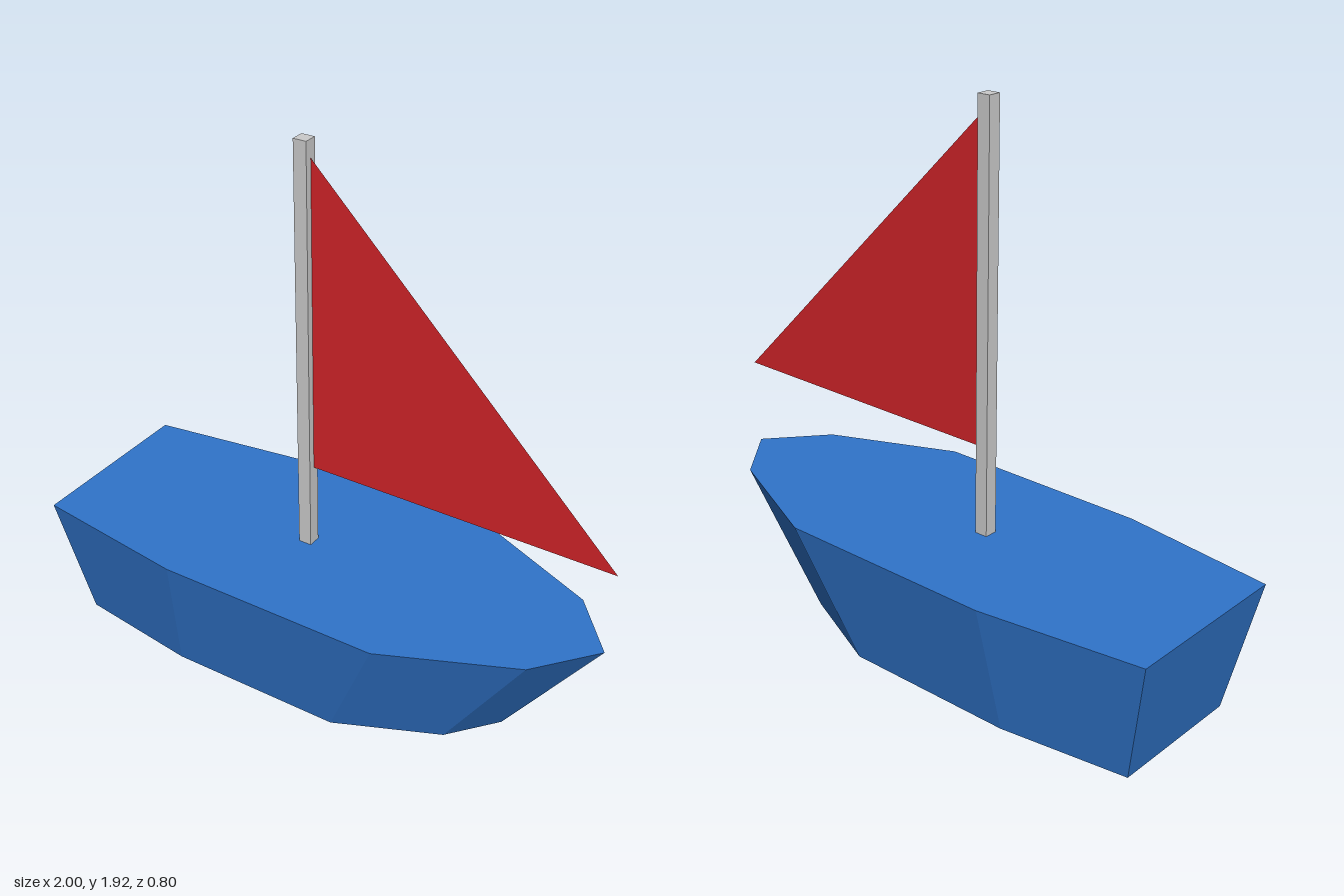
import * as THREE from 'three';

const DECK_Y = 0.455;
const MAST_X = -0.124;

function addPart(group, name, geometry, color, side = THREE.FrontSide) {
  const material = new THREE.MeshStandardMaterial({ color, side, flatShading: true });
  const mesh = new THREE.Mesh(geometry, material);
  mesh.name = name;
  group.add(mesh);
  return mesh;
}

// Extruded deck outline, stood upright, with the keel end shrunk towards the mast
function hullGeometry() {
  const side = [[-1, 0.32], [-0.43, 0.4], [0.37, 0.4], [0.815, 0.205]];
  const outline = [
    ...side.map(([x, w]) => new THREE.Vector2(x, -w)),
    new THREE.Vector2(0.985, 0),
    ...side.map(([x, w]) => new THREE.Vector2(x, w)).reverse(),
  ];
  const geometry = new THREE.ExtrudeGeometry(new THREE.Shape(outline), { depth: DECK_Y, bevelEnabled: false });
  geometry.rotateX(-Math.PI / 2);

  const taper = 0.786;
  const p = geometry.attributes.position;
  for (let i = 0; i < p.count; i++) {
    if (p.getY(i) < DECK_Y / 2) {
      p.setX(i, p.getX(i) * taper + MAST_X);
      p.setZ(i, p.getZ(i) * taper);
    }
  }
  geometry.computeVertexNormals();
  return geometry;
}

export function createModel() {
  const boat = new THREE.Group();
  boat.name = 'sailboat';

  addPart(boat, 'hull', hullGeometry(), 0x3074ca);

  // Square mast standing on the deck
  const mastTop = 1.92;
  const mast = addPart(boat, 'mast', new THREE.BoxGeometry(0.047, mastTop - DECK_Y, 0.047), 0xcccccc);
  mast.position.set(MAST_X, (mastTop + DECK_Y) / 2, 0);

  // Flat triangular sail along the mast's bow side
  const sail = new THREE.Shape([
    new THREE.Vector2(-0.1, 0.76),
    new THREE.Vector2(1, 0.76),
    new THREE.Vector2(-0.1, 1.86),
  ]);
  addPart(boat, 'sail', new THREE.ShapeGeometry(sail), 0xd22429, THREE.DoubleSide);

  return boat;
}
